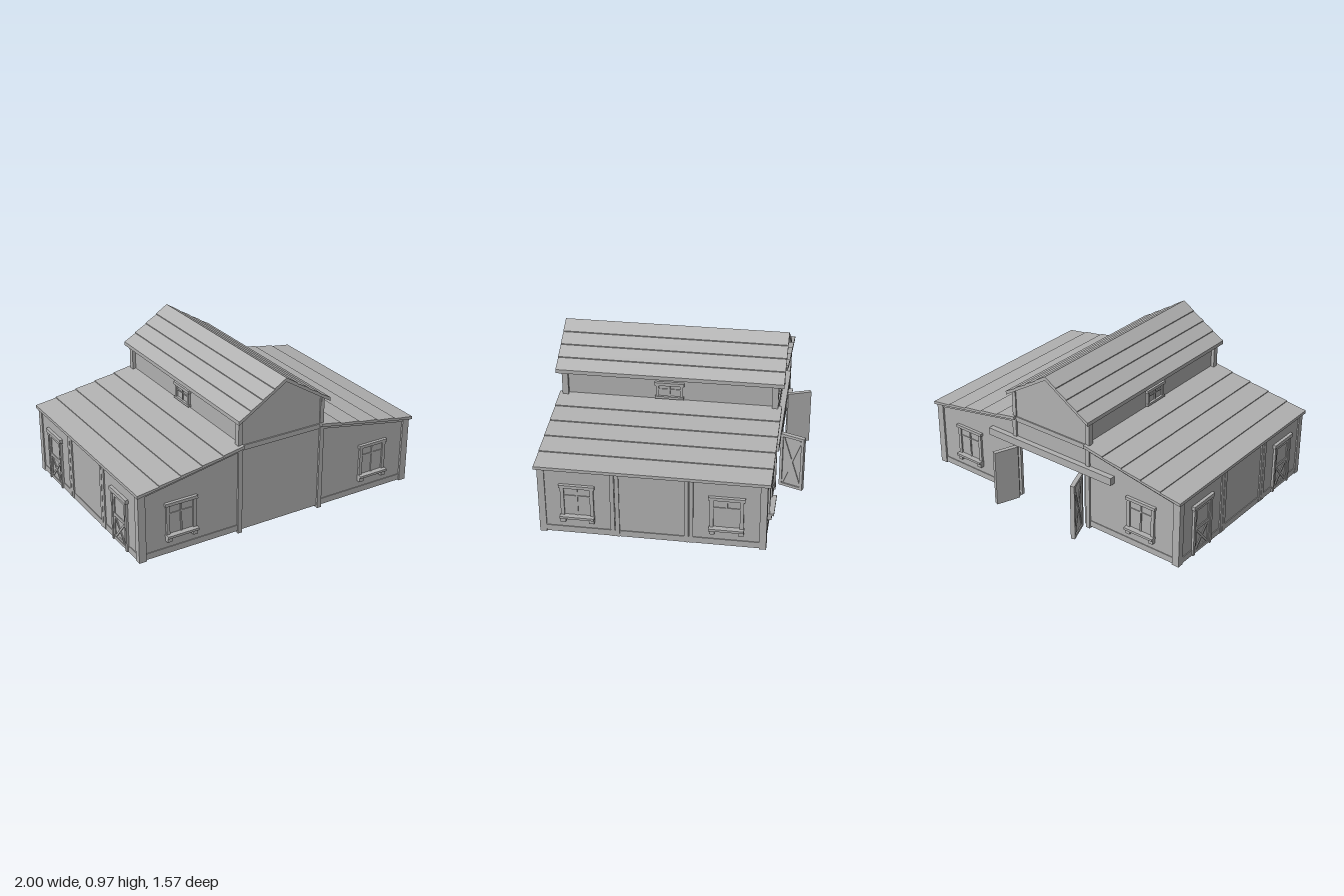
import * as THREE from 'three';

const grey = new THREE.MeshStandardMaterial({ color: 0xb0b0b0 });
grey.name = 'barn grey';

function add(parent, name, geometry) {
  const mesh = new THREE.Mesh(geometry, grey);
  mesh.name = name;
  parent.add(mesh);
  return mesh;
}

// Box given by its extents on each axis
function box(parent, name, x0, x1, y0, y1, z0, z1) {
  const mesh = add(parent, name, new THREE.BoxGeometry(Math.abs(x1 - x0), y1 - y0, Math.abs(z1 - z0)));
  mesh.position.set((x0 + x1) / 2, (y0 + y1) / 2, (z0 + z1) / 2);
  return mesh;
}

// Outline in x and y, extruded from z0 to z1
function slab(parent, name, points, z0, z1) {
  const shape = new THREE.Shape(points.map(([x, y]) => new THREE.Vector2(x, y)));
  const geometry = new THREE.ExtrudeGeometry(shape, { depth: z1 - z0, bevelEnabled: false });
  geometry.translate(0, 0, z0);
  return add(parent, name, geometry);
}

// Diagonal bars filling a rectangle
function cross(parent, name, x0, x1, y0, y1, z, width, depth) {
  const w = x1 - x0, h = y1 - y0;
  for (const s of [-1, 1]) {
    const bar = add(parent, name, new THREE.BoxGeometry(width, Math.hypot(w, h) - width, depth));
    bar.position.set((x0 + x1) / 2, (y0 + y1) / 2, z);
    bar.rotation.z = s * Math.atan2(w, h);
  }
}

// Overlapping roof boards running along z, stepping down from the ridge
function roof(parent, name, s, [xa, ya], [xb, yb], count, thick, half) {
  for (let i = 0; i < count; i++) {
    const at = (t) => [s * (xa + (xb - xa) * t), ya + (yb - ya) * t];
    const [x0, y0] = at(i / count), [x1, y1] = at((i + 1) / count);
    const drop = i ? 0.006 : 0;
    slab(parent, name, [[x0, y0 - drop], [x1, y1], [x1, y1 - thick], [x0, y0 - thick]], -half, half);
  }
}

// Window facing +z, with z = 0 on the outer wall face
function windowUnit(w, y0, y1, brackets) {
  const g = new THREE.Group();
  g.name = 'window';
  const h = w / 2, bar = w * 0.11, back = -0.032;
  box(g, 'windowPane', -h + bar, h - bar, y0, y1, -0.026, 0.004);
  for (const s of [-1, 1]) {
    box(g, 'windowJamb', s * h, s * (h - bar), y0, y1, back, 0.014);
    if (brackets) box(g, 'sillBracket', s * (h + 0.002), s * (h - 0.03), y0 - 0.03, y0, 0, 0.026);
  }
  box(g, 'windowHeader', -h - 0.008, h + 0.008, y1 - 0.02, y1, back, 0.02);
  box(g, 'windowSill', -h - 0.004, h + 0.004, y0, y0 + 0.015, back, brackets ? 0.04 : 0.02);
  box(g, 'windowMullion', -0.005, 0.005, y0, y1, back + 0.002, 0.01);
  const mid = y0 + (y1 - y0) * (brackets ? 0.66 : 0.55);
  box(g, 'windowCrossbar', -h + bar, h - bar, mid - 0.004, mid + 0.004, back + 0.002, 0.009);
  return g;
}

// Side door with a crossed lower panel, facing +z
function sideDoor() {
  const g = new THREE.Group();
  g.name = 'sideDoor';
  box(g, 'doorPanel', -0.08, 0.08, 0.015, 0.34, -0.026, 0.004);
  for (const s of [-1, 1]) {
    box(g, 'doorJamb', s * 0.095, s * 0.077, 0.015, 0.345, -0.03, 0.015);
    box(g, 'doorStile', s * 0.077, s * 0.06, 0.02, 0.34, 0, 0.01);
  }
  box(g, 'doorHeader', -0.105, 0.105, 0.34, 0.365, -0.03, 0.02);
  for (const y of [0.02, 0.18, 0.315]) box(g, 'doorRail', -0.06, 0.06, y, y + 0.02, 0, 0.01);
  cross(g, 'doorBrace', -0.06, 0.06, 0.04, 0.18, 0.006, 0.013, 0.007);
  return g;
}

// Swinging barn door running along +x from its hinge, braced on +z
function barnDoor(side) {
  const g = new THREE.Group();
  g.name = 'barnDoor';
  box(g, 'barnDoorPanel', 0, 0.16, 0.02, 0.395, -0.011, 0.009);
  const z0 = side * 0.009, z1 = side * 0.018;
  for (const x of [0, 0.142]) box(g, 'barnDoorStile', x, x + 0.018, 0.02, 0.395, z0, z1);
  for (const y of [0.02, 0.377]) box(g, 'barnDoorRail', 0.018, 0.142, y, y + 0.018, z0, z1);
  cross(g, 'barnDoorBrace', 0.018, 0.142, 0.038, 0.377, side * 0.012, 0.014, 0.008);
  return g;
}

export function createModel() {
  const model = new THREE.Group();
  model.name = 'barn';
  const barn = new THREE.Group();
  barn.name = 'barnBody';
  barn.position.set(-0.008, 0, 0.078);
  model.add(barn);

  const X = 0.97, Z = 0.67, C = 0.283, B = 0.015, T = 0.02;

  // Central gable walls, the rear one with a doorway
  const gableTop = [[C, 0.763], [0, 0.94], [-C, 0.763]];
  slab(barn, 'frontGableWall', [[-C, B], [C, B], ...gableTop], Z - T, Z);
  slab(barn, 'backGableWall', [[-0.26, B], [-0.26, 0.41], [0.26, 0.41], [0.26, B], [C, B],
    ...gableTop, [-C, B]], -Z, -Z + T);

  for (const s of [-1, 1]) {
    // Side walls and upper walls
    box(barn, 'sideWall', s * (X - T), s * X, B, 0.45, -Z, Z);
    box(barn, 'upperWall', s * (C - T), s * C, 0.57, 0.765, -Z, Z);
    box(barn, 'eaveTrim', s * C, s * (C + 0.018), 0.735, 0.76, -Z - 0.01, Z + 0.01);
    box(barn, 'sidePlinth', s * X, s * (X + 0.005), B, 0.055, -Z, Z);

    // Posts along the side
    for (const f of [-1, 1]) {
      for (const z of [0.206, 0.235]) {
        box(barn, 'sidePost', s * (X - 0.03), s * (X + 0.008), B, 0.447, f * (z - 0.012), f * (z + 0.013));
      }
    }

    // Front and back parts of the wings
    for (const f of [-1, 1]) {
      const face = (d0, d1) => [f * (Z + d0), f * (Z + d1)].sort((a, b) => a - b);
      const wing = [[C, B], [X, B], [X, 0.448], [C, 0.573]].map(([x, y]) => [s * x, y]);
      slab(barn, 'wingWall', wing, ...face(-T, 0));
      const rake = [[C, 0.55], [X, 0.426], [X, 0.448], [C, 0.573]].map(([x, y]) => [s * x, y]);
      slab(barn, 'rakeTrim', rake, ...face(0, 0.008));
      box(barn, 'wingPlinth', s * C, s * X, B, 0.055, ...face(0, 0.005));
      box(barn, 'cornerPost', s * (X - 0.04), s * (X + 0.008), 0.01, 0.447, ...face(-0.03, 0.012));
      box(barn, 'gablePost', s * (C - 0.005), s * (C + 0.024), 0, 0.588, ...face(-0.025, 0.012));
      box(barn, 'upperCornerPost', s * (C - 0.005), s * (C + 0.022), 0.585, 0.755, ...face(-0.03, 0.008));

      const w = windowUnit(0.2, 0.13, 0.352, true);
      w.position.set(s * 0.695, 0, f * Z);
      if (f < 0) w.rotation.y = Math.PI;
      barn.add(w);

      // Windows on the left side, doors on the right side
      const unit = s > 0 ? windowUnit(0.2, 0.13, 0.352, true) : sideDoor();
      unit.position.set(s * X, 0, f * 0.446);
      unit.rotation.y = s * Math.PI / 2;
      barn.add(unit);
    }

    // Small upper window
    const upper = windowUnit(0.17, 0.6, 0.71, false);
    upper.position.set(s * C, 0, 0);
    upper.rotation.y = s * Math.PI / 2;
    barn.add(upper);

    // Roof boards
    roof(barn, 'wingRoofBoard', s, [C - 0.005, 0.593], [0.988, 0.466], 5, 0.02, 0.7);
    roof(barn, 'mainRoofBoard', s, [0, 0.967], [0.324, 0.765], 4, 0.025, 0.712);

    // Open barn door
    const door = barnDoor(s);
    door.position.set(s * 0.255, 0, -0.705);
    door.rotation.y = Math.atan2(0.15, s * 0.057);
    barn.add(door);
  }

  // Cross trim on the gables and the rail over the doorway
  box(barn, 'frontCrossTrim', -C, C, 0.553, 0.585, Z, Z + 0.008);
  box(barn, 'backCrossTrim', -C, C, 0.553, 0.585, -Z - 0.008, -Z);
  box(barn, 'doorBeam', -0.49, 0.49, 0.395, 0.445, -0.706, -Z);

  return model;
}
